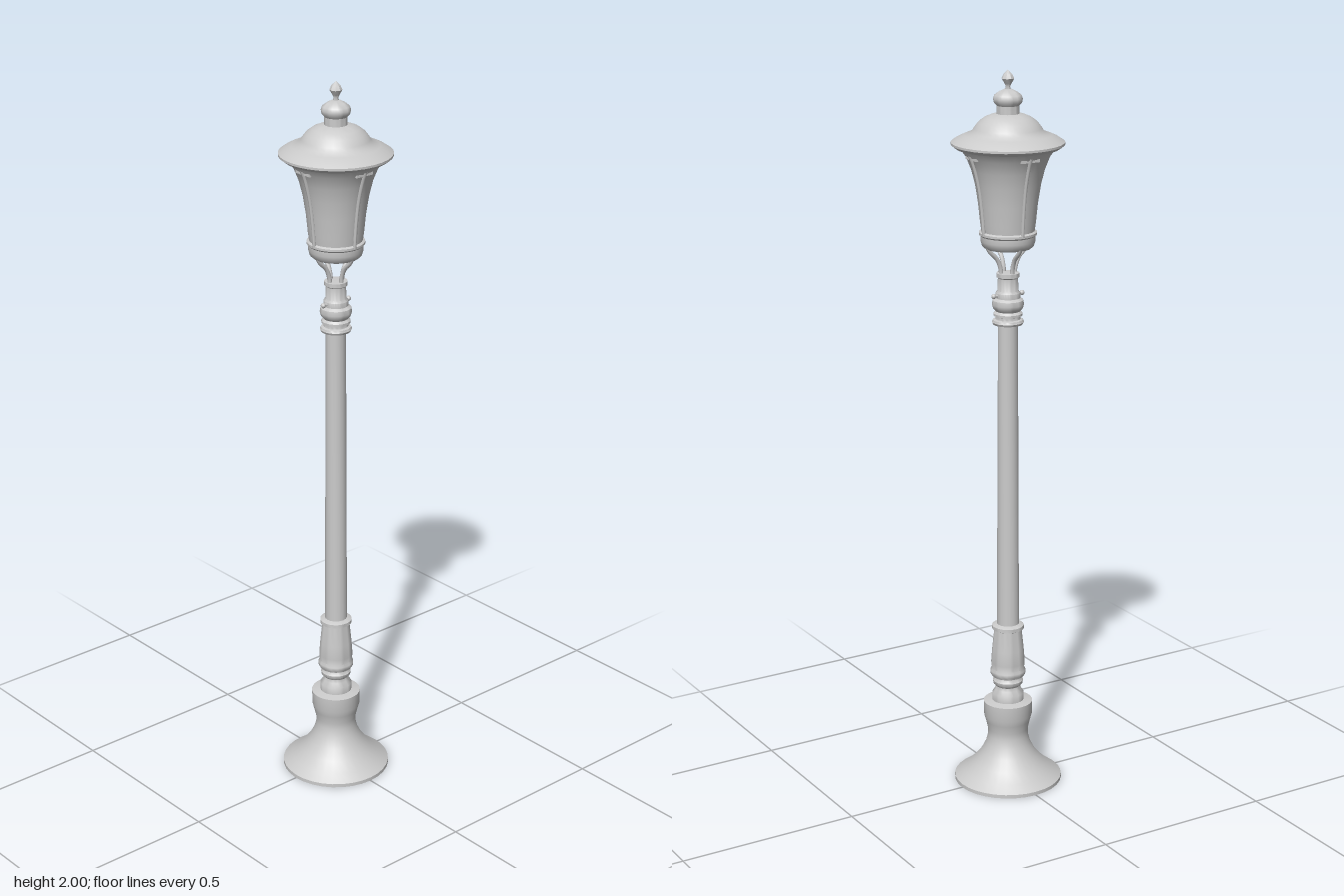
import * as THREE from 'three';
import { toCreasedNormals } from 'three/addons/utils/BufferGeometryUtils.js';

const material = new THREE.MeshStandardMaterial({ color: 0xcccccc, side: THREE.DoubleSide });

export function createModel() {
  const group = new THREE.Group();
  const add = (name, geometry, parent = group) => {
    const mesh = new THREE.Mesh(geometry, material);
    mesh.name = name;
    parent.add(mesh);
    return mesh;
  };
  // Turned part from [radius, height] pairs, bottom to top
  const turn = (name, profile, sides = 32) => {
    const points = profile.map(([r, y]) => new THREE.Vector2(r, y));
    return add(name, toCreasedNormals(new THREE.LatheGeometry(points, sides), 0.7));
  };

  // Flared foot with a collar
  turn('base', [[0, 0], [0.15, 0], [0.15, 0.01], [0.125, 0.028], [0.098, 0.052], [0.076, 0.08],
    [0.062, 0.108], [0.056, 0.132], [0.056, 0.15], [0.062, 0.175], [0.067, 0.193], [0.068, 0.234],
    [0.044, 0.238], [0.044, 0.258], [0.036, 0.27], [0.034, 0.28], [0.041, 0.287], [0.042, 0.296],
    [0.036, 0.304], [0.036, 0.312], [0, 0.312]]);

  // Tapered sleeve and its top ring
  turn('lowerSleeve', [[0, 0.31], [0.045, 0.31], [0.049, 0.317], [0.049, 0.326], [0.045, 0.333],
    [0.047, 0.35], [0.044, 0.39], [0.038, 0.447], [0.044, 0.45], [0.044, 0.46], [0.032, 0.465], [0, 0.465]]);

  turn('shaft', [[0.031, 0.46], [0.027, 1.33]], 16);

  // Rings and bulge at the head of the shaft
  turn('upperCollar', [[0, 1.322], [0.04, 1.322], [0.043, 1.328], [0.04, 1.334], [0.033, 1.336],
    [0.033, 1.344], [0.039, 1.346], [0.039, 1.352], [0.033, 1.358], [0.04, 1.366], [0.043, 1.376],
    [0.041, 1.388], [0.033, 1.394], [0.033, 1.408], [0.028, 1.414], [0.027, 1.448], [0.031, 1.451],
    [0.031, 1.462], [0, 1.464]]);

  // Small cross pin with knobs
  const pin = add('crossPin', new THREE.CylinderGeometry(0.004, 0.004, 0.09, 8));
  pin.rotation.z = Math.PI / 2;
  pin.position.y = 1.402;
  for (const s of [-1, 1]) add('pinKnob', new THREE.SphereGeometry(0.007, 8, 6)).position.set(s * 0.044, 1.402, 0);

  // Curved brackets under the lantern and ribs along its panes
  const bracket = new THREE.CatmullRomCurve3([[0.021, 1.455], [0.023, 1.475], [0.034, 1.502],
    [0.055, 1.523], [0.064, 1.538]].map(([x, y]) => new THREE.Vector3(x, y, 0)));
  const rib = new THREE.CatmullRomCurve3([[0.074, 1.57], [0.079, 1.63], [0.089, 1.70],
    [0.107, 1.765], [0.116, 1.785]].map(([x, y]) => new THREE.Vector3(x, y, 0)));
  for (let i = 0; i < 4; i++) {
    const side = new THREE.Group();
    side.name = 'lanternSide';
    side.rotation.y = i * Math.PI / 2;
    group.add(side);
    add('bracket', new THREE.TubeGeometry(bracket, 12, 0.006, 8), side);
    add('paneRib', new THREE.TubeGeometry(rib, 12, 0.005, 6), side);
    const bar = add('ribHead', new THREE.BoxGeometry(0.008, 0.008, 0.055), side);
    bar.position.set(0.109, 1.777, 0);
  }

  turn('lanternSeat', [[0, 1.53], [0.062, 1.53], [0.069, 1.536], [0.073, 1.55], [0.073, 1.563],
    [0.077, 1.567], [0.077, 1.573], [0.07, 1.577], [0, 1.577]]);

  // Trumpet-shaped lantern body
  turn('lanternBody', [[0.07, 1.57], [0.074, 1.6], [0.079, 1.65], [0.087, 1.70], [0.097, 1.74],
    [0.111, 1.775], [0.128, 1.798], [0.14, 1.805]]);

  // Brimmed roof with a dome
  turn('roof', [[0, 1.795], [0.138, 1.797], [0.15, 1.806], [0.15, 1.812], [0.135, 1.822], [0.115, 1.831],
    [0.096, 1.838], [0.09, 1.848], [0.078, 1.864], [0.062, 1.876], [0.045, 1.883], [0.03, 1.886],
    [0.03, 1.908], [0, 1.908]]);

  // Vent cap and faceted finial
  turn('ventCap', [[0, 1.905], [0.028, 1.905], [0.037, 1.915], [0.039, 1.925], [0.036, 1.934],
    [0.024, 1.943], [0.01, 1.95], [0, 1.951]]);
  turn('finial', [[0.009, 1.945], [0.006, 1.957], [0.009, 1.963], [0.017, 1.977], [0.012, 1.988], [0, 2]], 8);
  return group;
}
